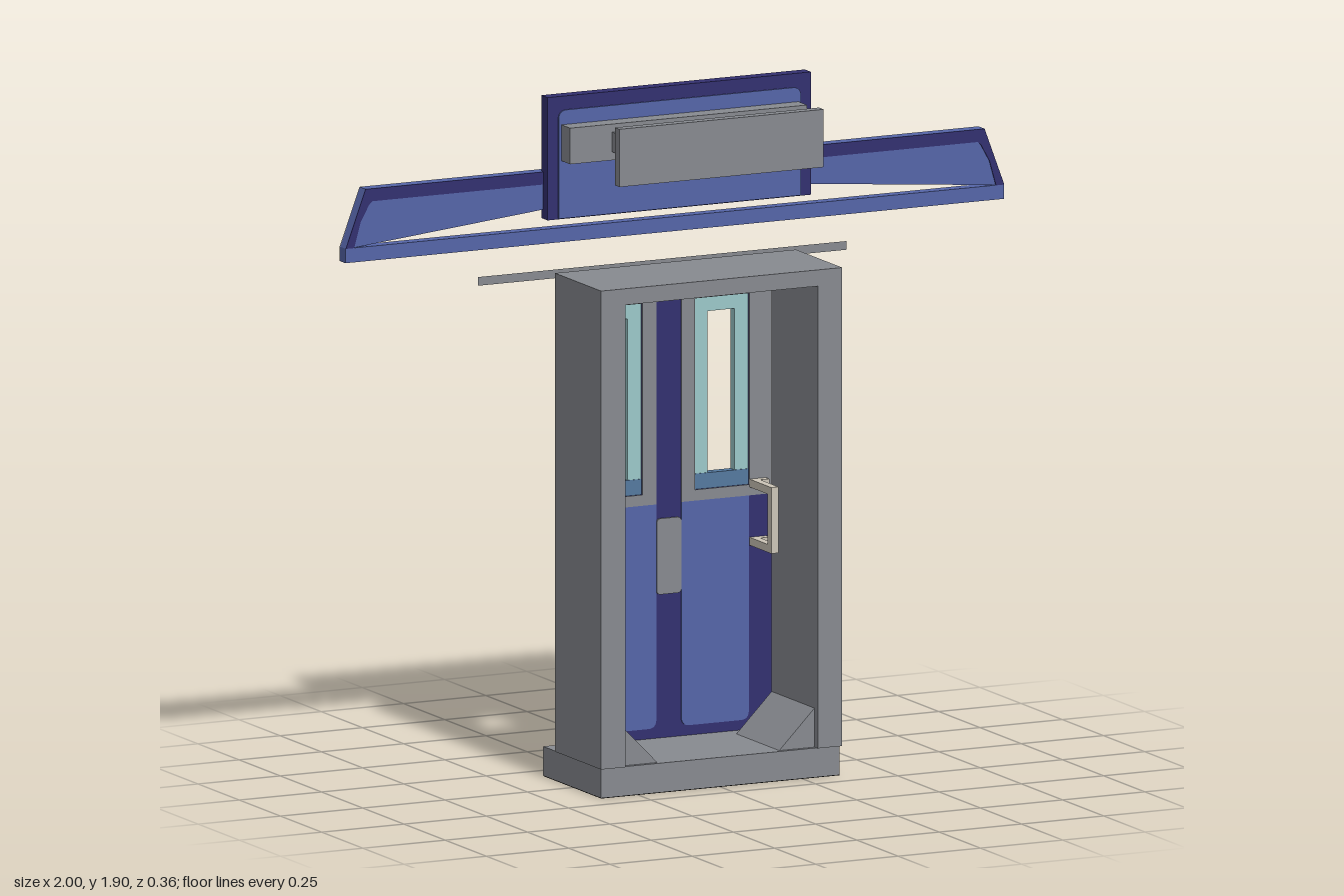
import * as THREE from 'three';

const mat = (name, color, side = THREE.FrontSide) => {
  const m = new THREE.MeshStandardMaterial({ color, side });
  m.name = name;
  return m;
};

export function createModel() {
  const root = new THREE.Group();
  root.name = 'doorwayWithSign';
  const gray = mat('gray', 0x878a90, THREE.DoubleSide);
  const blue = mat('blue', 0x5565a8);
  const navy = mat('navy', 0x333070);
  const beige = mat('beige', 0xcdc6b8);
  const teal = mat('teal', 0x9bc8ca);
  const sillBlue = mat('sillBlue', 0x55799f);
  const black = mat('black', 0x111111);

  const add = (name, geo, material, z = 0) => {
    const mesh = new THREE.Mesh(geo, material);
    mesh.name = name;
    mesh.position.z = z;
    root.add(mesh);
    return mesh;
  };
  // Box given by its limits on each axis
  const box = (name, m, x0, x1, y0, y1, z0, z1) => {
    const g = new THREE.BoxGeometry(x1 - x0, y1 - y0, z1 - z0);
    g.translate((x0 + x1) / 2, (y0 + y1) / 2, (z0 + z1) / 2);
    return add(name, g, m);
  };
  // Rectangle outline with separate bottom and top corner radii
  const rect = (x0, x1, y0, y1, rb = 0, rt = 0, Kind = THREE.Shape) => {
    const s = new Kind();
    s.moveTo(x0 + rb, y0);
    s.lineTo(x1 - rb, y0);
    if (rb) s.quadraticCurveTo(x1, y0, x1, y0 + rb);
    s.lineTo(x1, y1 - rt);
    if (rt) s.quadraticCurveTo(x1, y1, x1 - rt, y1);
    s.lineTo(x0 + rt, y1);
    if (rt) s.quadraticCurveTo(x0, y1, x0, y1 - rt);
    s.lineTo(x0, y0 + rb);
    if (rb) s.quadraticCurveTo(x0, y0, x0 + rb, y0);
    return s;
  };
  const poly = (pts) => new THREE.Shape(pts.map(([x, y]) => new THREE.Vector2(x, y)));
  const slab = (name, m, shape, z0, z1) =>
    add(name, new THREE.ExtrudeGeometry(shape, { depth: z1 - z0, bevelEnabled: false, curveSegments: 8 }), m, z0);
  const windowHole = (s) =>
    s > 0 ? rect(0.08, 0.245, 0.76, 1.29, 0, 0, THREE.Path) : rect(-0.245, -0.08, 0.76, 1.29, 0, 0, THREE.Path);
  // Rectangle mirrored to side s
  const sideRect = (s, a, b, y0, y1, rb, rt) =>
    rect(Math.min(s * a, s * b), Math.max(s * a, s * b), y0, y1, rb, rt);

  // Base
  box('base', gray, -0.362, 0.362, 0.002, 0.082, -0.177, 0.172);
  box('baseUnderside', black, -0.362, 0.362, 0, 0.002, -0.177, 0.172);
  box('baseBackPaint', beige, -0.362, 0.362, 0.002, 0.082, -0.18, -0.177);

  // Portal frame
  box('frameTop', gray, -0.366, 0.366, 1.362, 1.407, -0.1, 0.18);
  for (const s of [-1, 1]) {
    const [a, b] = s > 0 ? [0.292, 0.366] : [-0.366, -0.292];
    box('framePost', gray, a, b, 0.082, 1.362, -0.097, 0.18);
    box('framePostBackPaint', beige, a, b, 0.082, 1.362, -0.1, -0.097);
    slab('cornerWedge', gray, poly([[s * 0.292, 0.082], [s * 0.292, 0.19], [s * 0.185, 0.082]]), -0.1, 0.16);
  }

  // Door leaf, with both window openings
  const leaf = rect(-0.32, 0.32, 0.082, 1.365);
  leaf.holes.push(windowHole(-1), windowHole(1));
  slab('door', gray, leaf, -0.176, -0.146);
  slab('doorFrontPaint', navy, leaf, -0.146, -0.143);
  slab('doorCentrePlate', gray, rect(-0.037, 0.037, 0.48, 0.69, 0.012, 0.012), -0.143, -0.138);

  for (const s of [-1, 1]) {
    const upper = sideRect(s, 0.038, 0.318, 0.73, 1.33, 0, 0.025);
    upper.holes.push(windowHole(s));
    slab('windowSurround', gray, upper, -0.143, -0.14);
    slab('lowerPanel', blue, sideRect(s, 0.038, 0.243, 0.11, 0.73, 0.025, 0), -0.143, -0.14);

    // Window lining around an open pane
    const lining = sideRect(s, 0.08, 0.245, 0.8, 1.29);
    lining.holes.push(new THREE.Path(sideRect(s, 0.122, 0.203, 0.802, 1.25).getPoints()));
    slab('windowFrame', teal, lining, -0.172, -0.148);
    slab('windowSill', sillBlue, sideRect(s, 0.08, 0.245, 0.76, 0.803), -0.174, -0.146);

    // Paint on the rear of the door
    slab('doorBackPaint', beige, poly([
      [s * 0.32, 0.28], [s * 0.32, 0.74], [s * 0.27, 0.73], [s * 0.06, 0.72], [s * 0.042, 0.7],
      [s * 0.042, 0.53], [s * 0.025, 0.49], [0, 0.48], [0, 0.24], [s * 0.028, 0.23],
      [s * 0.04, 0.2], [s * 0.04, 0.12], [0, 0.1], [0, 0.082], [s * 0.285, 0.082],
      [s * 0.285, 0.25]]), -0.18, -0.176);
    slab('doorBackTopPaint', beige, sideRect(s, 0.04, 0.31, 1.325, 1.365, 0.012, 0), -0.18, -0.176);

    // Grab handle
    const [a, b] = s > 0 ? [0.245, 0.267] : [-0.267, -0.245];
    const [c, d] = s > 0 ? [0.245, 0.295] : [-0.295, -0.245];
    box('handleBar', beige, a, b, 0.592, 0.775, -0.03, -0.008);
    for (const y of [0.592, 0.753]) {
      box('handleArm', beige, a, b, y, y + 0.022, -0.14, -0.03);
      box('handleFoot', beige, c, d, y, y + 0.022, -0.14, -0.118);
    }
  }

  // Thin rail above the door
  const rail = new THREE.PlaneGeometry(1.12, 0.024);
  rail.translate(0, 1.387, 0);
  add('topRail', rail, gray, -0.18);

  // Wide sign board with a shallow arched opening
  const board = poly([[-1, 1.49], [1, 1.49], [1, 1.53], [0.94, 1.69], [-0.94, 1.69], [-1, 1.53]]);
  const arch = new THREE.Path();
  arch.moveTo(-0.98, 1.53);
  arch.lineTo(0.98, 1.53);
  arch.lineTo(0.4, 1.585);
  arch.quadraticCurveTo(0, 1.62, -0.4, 1.585);
  arch.closePath();
  board.holes.push(arch);
  slab('signBoard', blue, board, -0.137, -0.105);
  slab('signBoardBackPaint', beige, board, -0.14, -0.137);
  slab('signBoardBorder', navy, poly([
    [-1, 1.53], [-0.975, 1.53], [-0.955, 1.6], [-0.93, 1.645], [-0.92, 1.655], [0.92, 1.655], [0.93, 1.645],
    [0.955, 1.6], [0.975, 1.53], [1, 1.53], [0.94, 1.69], [-0.94, 1.69]]), -0.105, -0.102);

  // Centre plate of the sign
  box('centrePlate', navy, -0.4, 0.4, 1.56, 1.9, -0.115, -0.077);
  slab('centrePlatePanel', blue, rect(-0.368, 0.368, 1.562, 1.862, 0, 0.025), -0.077, -0.073);

  // Lamp bracket in front of the plate
  box('bracketRear', gray, -0.36, 0.36, 1.722, 1.822, -0.075, -0.02);
  for (const x of [-0.205, 0.197]) box('bracketArm', gray, x - 0.028, x + 0.028, 1.745, 1.8, -0.02, 0.152);
  box('bracketFront', gray, -0.31, 0.31, 1.69, 1.85, 0.152, 0.18);

  return root;
}
